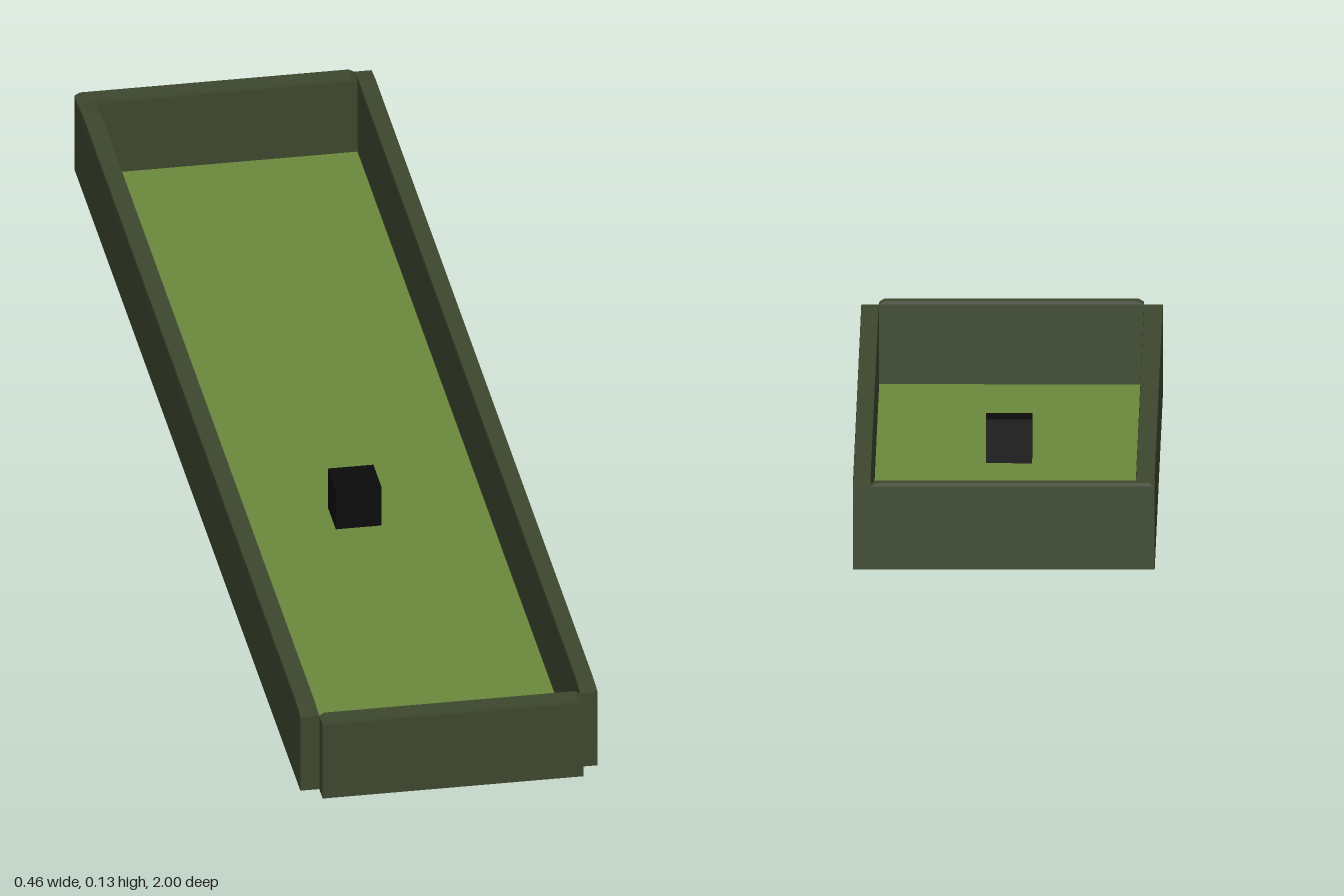
import * as THREE from 'three';

const WALL_H = 0.132, BEVEL_H = 0.005, INSET = 0.04;

export function createModel() {
  const group = new THREE.Group();
  const wallMat = new THREE.MeshStandardMaterial({ color: 0x3d472e });
  wallMat.name = 'dark green wall';
  const floorMat = new THREE.MeshStandardMaterial({ color: 0x6c893b });
  floorMat.name = 'grass green';
  const blockMat = new THREE.MeshStandardMaterial({ color: 0x0b0b0b });
  blockMat.name = 'black';

  // Box given by its extents
  function box(name, mat, x0, x1, y0, y1, z0, z1) {
    const geo = new THREE.BoxGeometry(x1 - x0, y1 - y0, z1 - z0);
    const mesh = new THREE.Mesh(geo, mat);
    mesh.position.set((x0 + x1) / 2, (y0 + y1) / 2, (z0 + z1) / 2);
    mesh.name = name;
    group.add(mesh);
    return mesh;
  }

  // Upright plank with a slightly tapered cap along its top
  function plank(name, x0, x1, z0, z1) {
    const shoulder = WALL_H - BEVEL_H;
    box(name, wallMat, x0, x1, 0, shoulder, z0, z1);
    const cap = box(name + 'Cap', wallMat, x0, x1, shoulder, WALL_H, z0, z1);
    const p = cap.geometry.attributes.position;
    for (let i = 0; i < p.count; i++) {
      if (p.getY(i) > 0) {
        p.setX(i, p.getX(i) * (1 - INSET));
        p.setZ(i, p.getZ(i) * (1 - INSET));
      }
    }
    cap.geometry = cap.geometry.toNonIndexed();
    cap.geometry.computeVertexNormals();
  }

  // Four walls of the tray
  plank('leftWall', 0.2, 0.227, -1, 0.97);
  plank('rightWall', -0.23, -0.201, -0.97, 0.97);
  plank('backWall', -0.23, 0.2, -1, -0.97);
  plank('frontWall', -0.201, 0.2, 0.97, 1);

  // Floor and the small block standing on it
  box('floor', floorMat, -0.201, 0.2, 0.002, 0.005, -0.97, 0.97);
  box('block', blockMat, -0.037, 0.033, 0, 0.072, 0.115, 0.185);

  return group;
}
